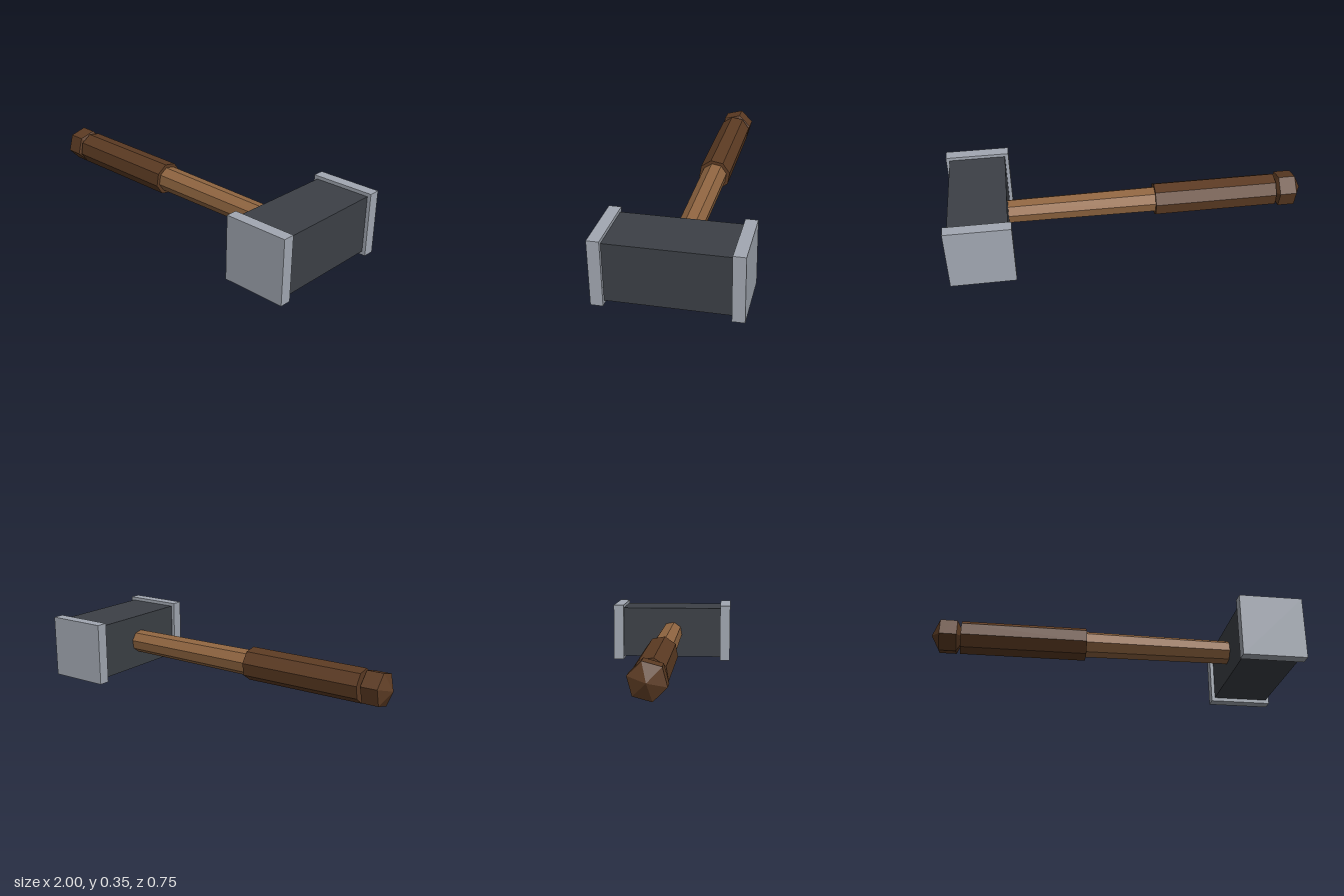
import * as THREE from 'three';

const AXIS_Y = 0.177; // height of the handle axis
const HEAD_X = 0.824; // centre of the hammer head

function material(name, color) {
  const m = new THREE.MeshStandardMaterial({ color });
  m.name = name;
  return m;
}

// Faceted bar along x, from x0 (radius r0) to x1 (radius r1)
function bar(name, mat, x0, r0, x1, r1, sides, twist) {
  const g = new THREE.CylinderGeometry(r1, r0, x1 - x0, sides);
  g.rotateY(twist);
  g.rotateZ(-Math.PI / 2);
  return place(name, g.toNonIndexed(), mat, (x0 + x1) / 2, AXIS_Y, 0);
}

function place(name, geometry, mat, x, y, z) {
  geometry.computeVertexNormals();
  const mesh = new THREE.Mesh(geometry, mat);
  mesh.name = name;
  mesh.position.set(x, y, z);
  return mesh;
}

export function createModel() {
  const group = new THREE.Group();
  group.name = 'hammer';

  const iron = material('dark iron', 0x3c4046);
  const steel = material('pale steel', 0xa2a8b2);
  const wood = material('light wood', 0x916641);
  const leather = material('brown grip', 0x5c3b23);

  // Handle: octagonal shaft and thicker grip, turned slightly about their axis
  const twist = THREE.MathUtils.degToRad(12.5);
  group.add(bar('shaft', wood, -0.2, 0.073, 0.72, 0.066, 8, twist));
  group.add(bar('grip', leather, -0.84, 0.0925, -0.15, 0.0925, 8, twist));

  // Pommel: pointed faceted knob
  const profile = [[0, -1], [0.098, -0.955], [0.098, -0.862], [0, -0.815]]
    .map(([r, x]) => new THREE.Vector2(r, x));
  const knob = new THREE.LatheGeometry(profile, 6, THREE.MathUtils.degToRad(15));
  knob.rotateZ(-Math.PI / 2);
  group.add(place('pommel', knob.toNonIndexed(), leather, 0, AXIS_Y, 0));

  // Head: dark block with a striking plate on each end
  group.add(place('headBlock', new THREE.BoxGeometry(0.313, 0.313, 0.64), iron, HEAD_X, AXIS_Y, 0));
  for (const side of [1, -1]) {
    const plate = new THREE.BoxGeometry(0.352, 0.352, 0.063);
    group.add(place(side > 0 ? 'frontPlate' : 'backPlate', plate, steel, HEAD_X, 0.176, side * 0.342));
  }
  return group;
}
